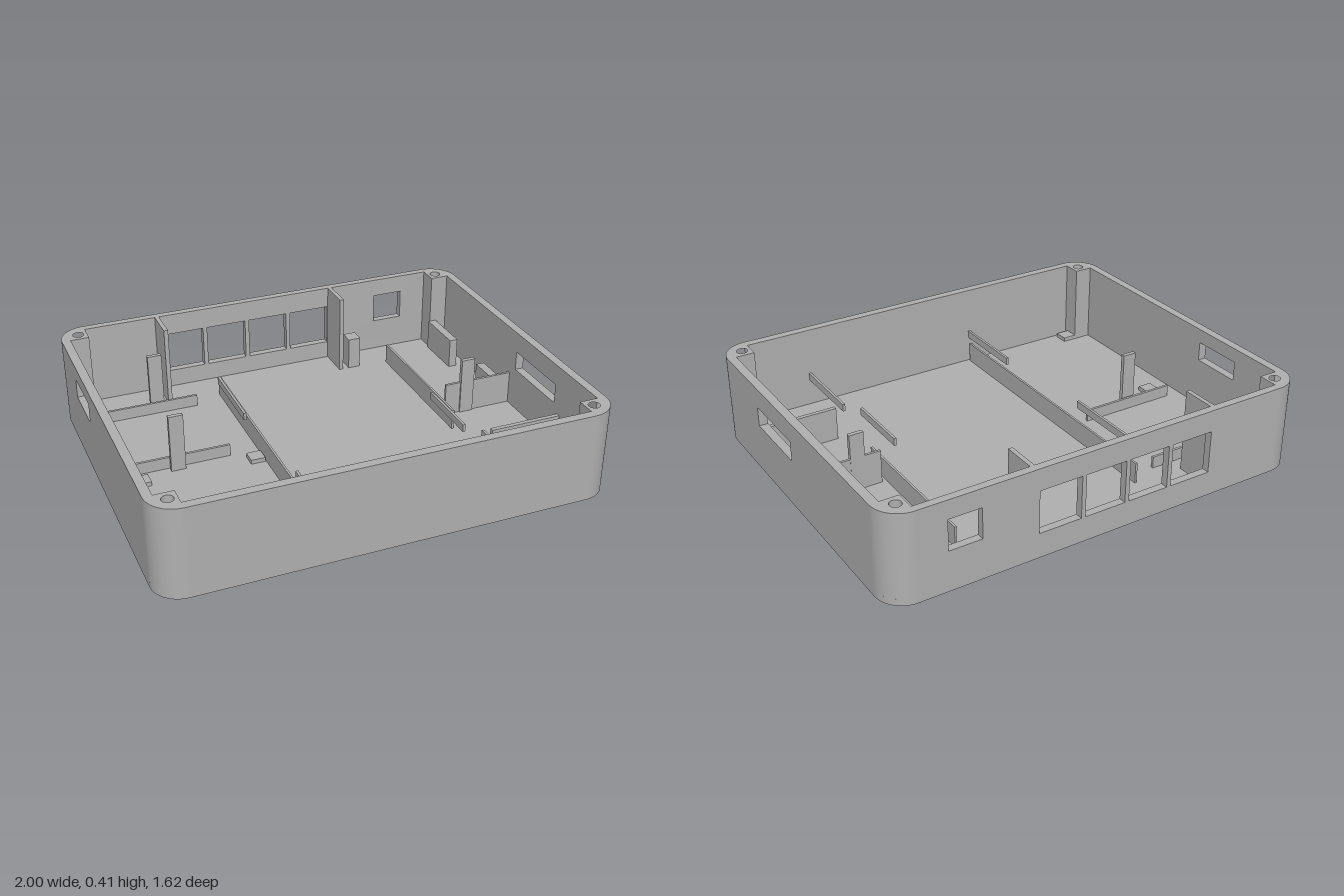
import * as THREE from 'three';

const H = 0.41, FLOOR = 0.03, W = 1, D = 0.81, R = 0.125;

export function createModel() {
  const root = new THREE.Group();
  root.name = 'openEnclosure';
  const grey = new THREE.MeshStandardMaterial({ color: 0xb0b0b0 });
  grey.name = 'plain grey';

  const add = (name, geometry) => {
    const mesh = new THREE.Mesh(geometry, grey);
    mesh.name = name;
    root.add(mesh);
    return mesh;
  };
  // Box given by its limits on each axis
  const block = (name, x0, x1, y0, y1, z0, z1) => {
    add(name, new THREE.BoxGeometry(x1 - x0, y1 - y0, z1 - z0))
      .position.set((x0 + x1) / 2, (y0 + y1) / 2, (z0 + z1) / 2);
  };
  const rect = (PathType, x0, x1, y0, y1) => new PathType().moveTo(x0, y0)
    .lineTo(x1, y0).lineTo(x1, y1).lineTo(x0, y1).closePath();
  const extrude = (shape, depth) =>
    new THREE.ExtrudeGeometry(shape, { depth, bevelEnabled: false, curveSegments: 20 });

  // Floor plate with rounded corners
  const plate = new THREE.Shape();
  plate.moveTo(W - R, -D);
  plate.absarc(W - R, -D + R, R, -Math.PI / 2, 0);
  plate.absarc(W - R, D - R, R, 0, Math.PI / 2);
  plate.absarc(-W + R, D - R, R, Math.PI / 2, Math.PI);
  plate.absarc(-W + R, -D + R, R, Math.PI, Math.PI * 1.5);
  plate.closePath();
  add('floor', extrude(plate, FLOOR).rotateX(-Math.PI / 2));

  // Corner posts: rounded outside, square inside, with a screw hole
  for (const sx of [-1, 1]) for (const sz of [-1, 1]) {
    const pts = [];
    for (let i = 0; i <= 20; i++) {
      const a = (i / 20) * Math.PI / 2;
      pts.push(new THREE.Vector2(sx * (W - R + R * Math.cos(a)), sz * (D - R + R * Math.sin(a))));
    }
    pts.push(new THREE.Vector2(sx * (W - R), sz * (D - R)));
    const post = new THREE.Shape(pts);
    post.holes.push(new THREE.Path().absarc(sx * 0.915, sz * 0.73, 0.025, 0, Math.PI * 2, true));
    // The shape plane lies flat, so its second axis becomes -z
    add('cornerPost', extrude(post, H - FLOOR).rotateX(-Math.PI / 2)).position.y = FLOOR;
  }

  // Wall panels with window openings [u0, u1, y0, y1]
  const wall = (name, half, thickness, windows) => {
    const s = rect(THREE.Shape, -half, half, FLOOR, H);
    for (const w of windows) s.holes.push(rect(THREE.Path, ...w));
    return add(name, extrude(s, thickness));
  };
  wall('frontWall', W - R, 0.04, []).position.z = D - 0.04;
  wall('backWall', W - R, 0.035, [
    [-0.506, -0.306, 0.115, 0.31], [-0.286, -0.092, 0.115, 0.31],
    [-0.072, 0.122, 0.115, 0.31], [0.142, 0.34, 0.115, 0.31],
    [0.597, 0.745, 0.185, 0.325],
  ]).position.z = -D;
  const left = wall('leftWall', D - R, 0.04, [[-0.37, -0.03, 0.225, 0.315]]);
  left.rotation.y = Math.PI / 2;
  left.position.x = W - 0.04;
  const right = wall('rightWall', D - R, 0.04, [[0.19, 0.43, 0.255, 0.345]]);
  right.rotation.y = Math.PI / 2;
  right.position.x = -W;

  // Full-height ribs beside the large opening
  for (const x of [-0.54, 0.345]) block('backRib', x, x + 0.02, FLOOR, H, -0.776, -0.62);

  // Low dividers on the floor
  block('longDivider', -0.29, -0.28, FLOOR, 0.125, -0.61, 0.76);
  block('longDivider', 0.595, 0.605, FLOOR, 0.125, -0.61, 0.11);
  for (const z of [-0.555, -0.067]) block('crossDivider', -0.89, -0.42, FLOOR, 0.085, z, z + 0.012);

  // Side partitions reaching the left wall
  block('sidePartition', 0.625, 0.961, FLOOR, 0.185, -0.03, -0.018);
  block('sidePartition', 0.625, 0.961, FLOOR, 0.185, 0.403, 0.423);

  // Thin raised rails
  for (const [x, z0, z1] of [[-0.285, 0.41, 0.77], [0.583, 0.41, 0.77], [0.53, 0.02, 0.34], [-0.325, -0.49, -0.12]])
    block('rail', x - 0.006, x + 0.006, 0.155, 0.19, z0, z1);

  // Upright clips
  for (const [x, z] of [[-0.632, -0.618], [-0.7, -0.045], [0.7, -0.031]])
    block('clip', x, x + 0.066, FLOOR, 0.3, z, z + 0.02);

  // Support blocks
  block('supportBlock', 0.395, 0.455, FLOOR, 0.185, -0.69, -0.62);
  block('supportBlock', 0.865, 0.905, FLOOR, 0.175, -0.68, -0.44);
  block('supportBlock', 0.865, 0.905, FLOOR, 0.175, -0.17, -0.04);

  // Small square pads
  for (const x of [-0.875, -0.36]) for (const z of [-0.015, 0.685])
    block('pad', x, x + 0.066, FLOOR, 0.05, z, z + 0.066);

  return root;
}
